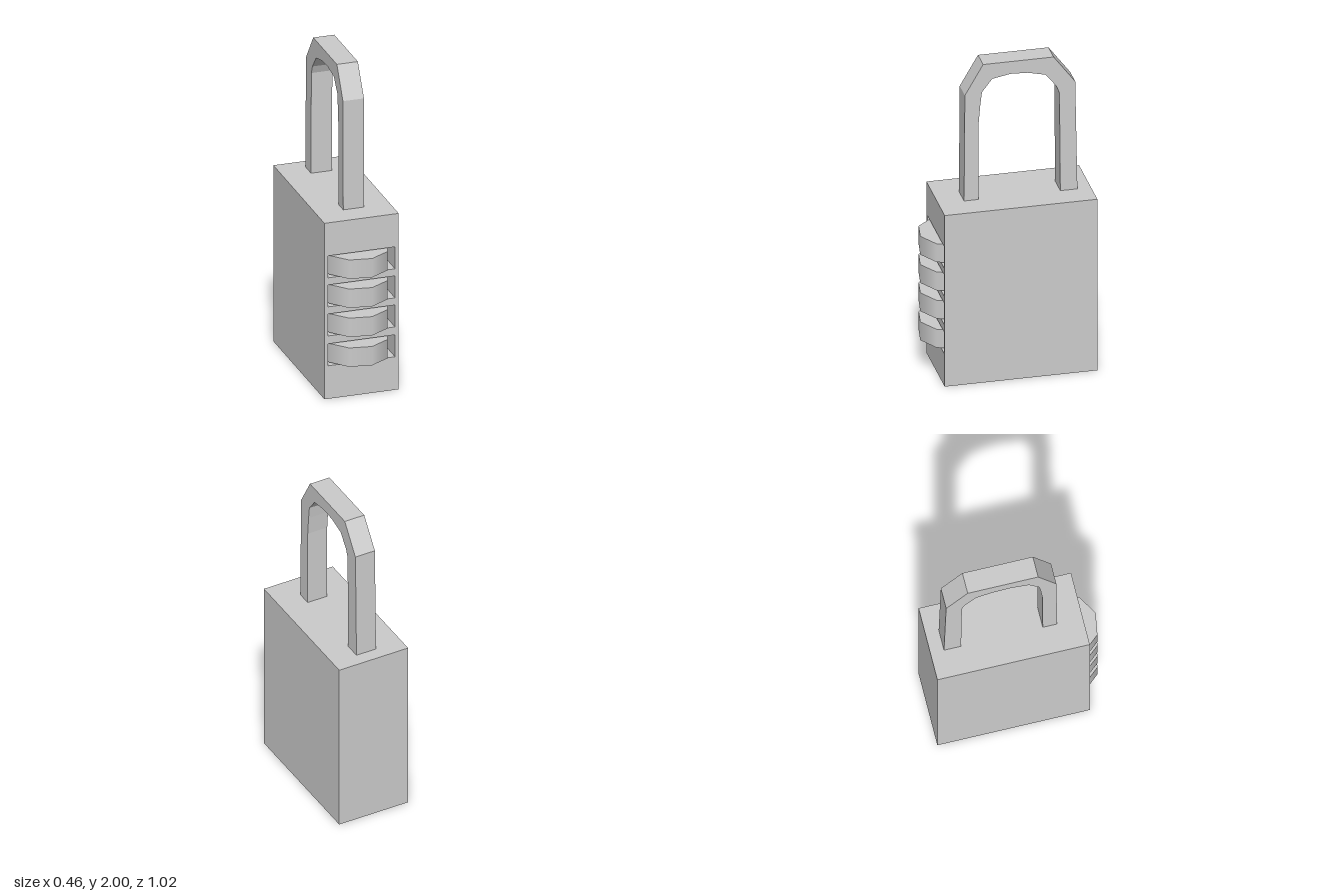
import * as THREE from 'three';
import { mergeGeometries } from 'three/addons/utils/BufferGeometryUtils.js';

const material = new THREE.MeshStandardMaterial({ color: 0xcccccc });

const WIDTH = 0.46, HEIGHT = 1.12, BACK = -0.51, FRONT = 0.41;
const WHEEL_HEIGHTS = [0.28, 0.47, 0.655, 0.84];
const SLOT = { x: 0, width: 0.415, height: 0.14, floor: 0.1 };

// Box whose front (+z) side is left open; inward turns it into a pocket
function openBox(w, h, zBack, zFront, x, y, inward = false) {
  const geo = new THREE.BoxGeometry(w, h, zFront - zBack);
  let index = Array.from(geo.index.array);
  index.splice(24, 6);
  if (inward) {
    index.reverse();
    const n = geo.attributes.normal;
    for (let i = 0; i < n.array.length; i++) n.array[i] *= -1;
  }
  geo.setIndex(index);
  geo.clearGroups();
  return geo.translate(x, y, (zBack + zFront) / 2);
}

function rectangle(path, x, y, w, h) {
  path.moveTo(x - w / 2, y - h / 2);
  path.lineTo(x + w / 2, y - h / 2);
  path.lineTo(x + w / 2, y + h / 2);
  path.lineTo(x - w / 2, y + h / 2);
  path.closePath();
  return path;
}

export function createModel() {
  const lock = new THREE.Group();
  lock.name = 'combinationPadlock';

  const add = (name, geometry) => {
    const mesh = new THREE.Mesh(geometry, material);
    mesh.name = name;
    lock.add(mesh);
    return mesh;
  };

  // Body: open shell, front face with slot holes, and a pocket behind each hole
  const face = rectangle(new THREE.Shape(), 0, HEIGHT / 2, WIDTH, HEIGHT);
  const parts = [openBox(WIDTH, HEIGHT, BACK, FRONT, 0, HEIGHT / 2)];
  for (const y of WHEEL_HEIGHTS) {
    face.holes.push(rectangle(new THREE.Path(), SLOT.x, y, SLOT.width, SLOT.height));
    parts.push(openBox(SLOT.width, SLOT.height, SLOT.floor, FRONT, SLOT.x, y, true));
  }
  parts.push(new THREE.ShapeGeometry(face).translate(0, 0, FRONT));
  add('body', mergeGeometries(parts));

  // Nine-sided number wheels, half sunk in the slots
  const wheel = new THREE.CylinderGeometry(0.2, 0.2, 0.12, 9, 1, false, THREE.MathUtils.degToRad(10.6));
  WHEEL_HEIGHTS.forEach((y, i) => {
    add(`numberWheel${i + 1}`, wheel).position.set(-0.005, y, 0.313);
  });

  // Shackle: (z, y) outline with chamfered outer corners and a rounder inner arch
  const outline = [
    [0.255, HEIGHT], [0.25, 1.81], [0.14, 2], [-0.285, 2], [-0.415, 1.825], [-0.428, HEIGHT],
    [-0.325, HEIGHT], [-0.32, 1.76], [-0.3, 1.81], [-0.235, 1.89], [-0.13, 1.915],
    [-0.025, 1.92], [0.085, 1.9], [0.147, 1.82], [0.157, 1.74], [0.167, 1.62], [0.168, HEIGHT],
  ].map(([z, y]) => new THREE.Vector2(z, y));
  const shackle = new THREE.ExtrudeGeometry(new THREE.Shape(outline), { depth: 0.13, bevelEnabled: false });
  shackle.rotateY(-Math.PI / 2).translate(0.07, 0, 0);
  add('shackle', shackle);

  return lock;
}
